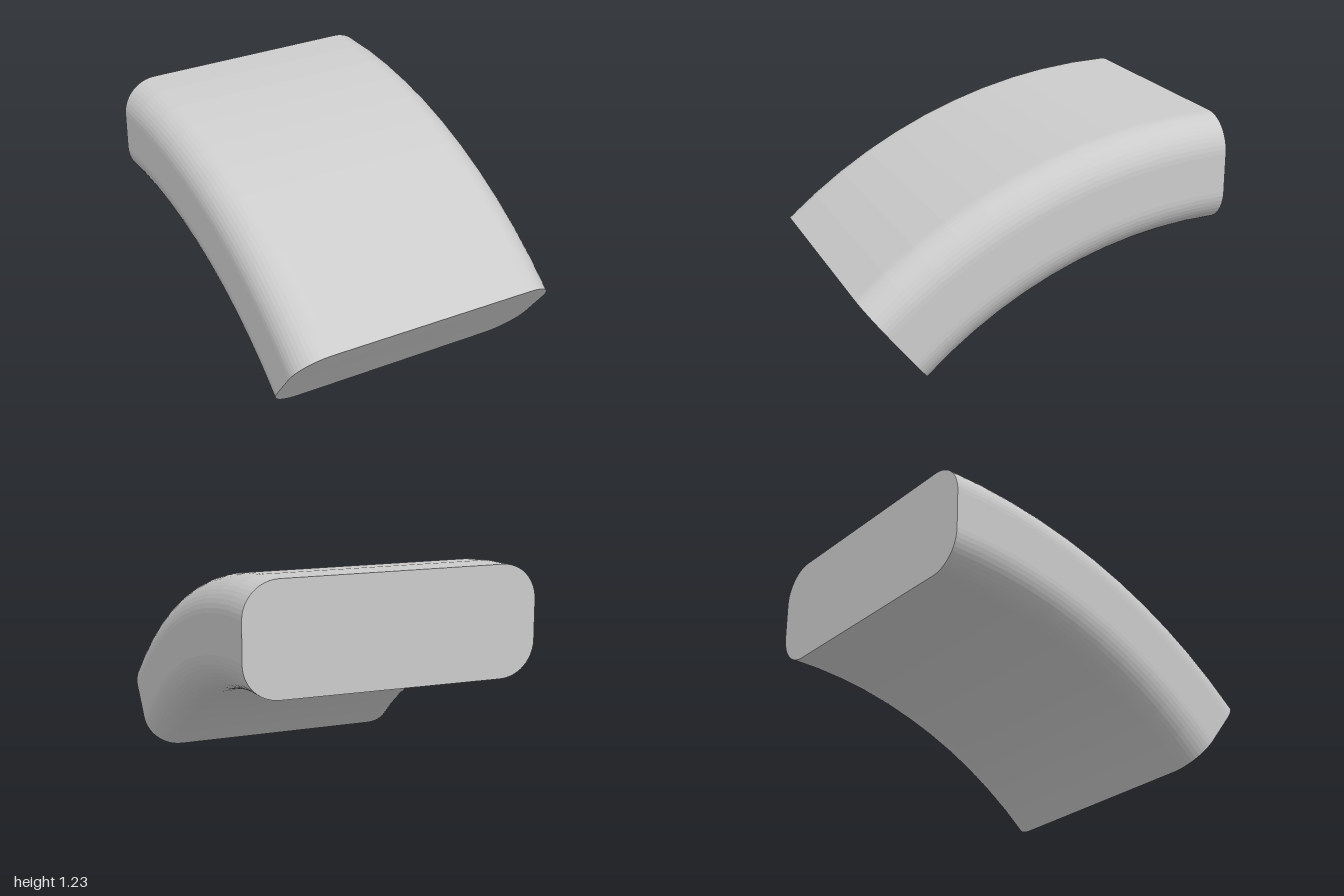
import * as THREE from 'three';

const HALF_W = 0.79, THICK = 0.59, CORNER = 0.19;
const INNER_R = 2.42, OUTER_R = 3.01, CENTRE_Y = -1.785;
const INNER_ANGLE = Math.asin(1.635 / INNER_R), OUTER_ANGLE = Math.asin(2 / OUTER_R);

// Rounded rectangle cross-section, y running from inner to outer face
function sectionShape() {
  const s = new THREE.Shape();
  const x = HALF_W - CORNER, lo = CORNER, hi = THICK - CORNER, q = Math.PI / 2;
  s.absarc(x, lo, CORNER, -q, 0);
  s.absarc(x, hi, CORNER, 0, q);
  s.absarc(-x, hi, CORNER, q, 2 * q);
  s.absarc(-x, lo, CORNER, 2 * q, 3 * q);
  s.closePath();
  return s;
}

// Point on an arc that starts level at the back and drops toward the front
const arcPoint = (r, a) => ({ z: -1 + r * Math.sin(a), y: CENTRE_Y + r * Math.cos(a) });

export function createModel() {
  const group = new THREE.Group();
  group.name = 'curvedBar';

  const geo = new THREE.ExtrudeGeometry(sectionShape(), {
    depth: 1, steps: 11, curveSegments: 6, bevelEnabled: false,
  });

  // Bend the straight bar between the inner and outer arcs
  const p = geo.attributes.position;
  for (let i = 0; i < p.count; i++) {
    const x = p.getX(i), across = p.getY(i) / THICK, along = p.getZ(i);
    const skew = 0.005 * (x - 0.6); // front end is very slightly askew
    const a = arcPoint(INNER_R, along * (INNER_ANGLE + skew));
    const b = arcPoint(OUTER_R, along * (OUTER_ANGLE + skew));
    p.setXYZ(i, x, a.y + (b.y - a.y) * across, a.z + (b.z - a.z) * across);
  }
  geo.computeVertexNormals();

  const bar = new THREE.Mesh(geo, new THREE.MeshStandardMaterial({ color: 0xcccccc, flatShading: true }));
  bar.name = 'bentRoundedBar';
  group.add(bar);
  return group;
}
